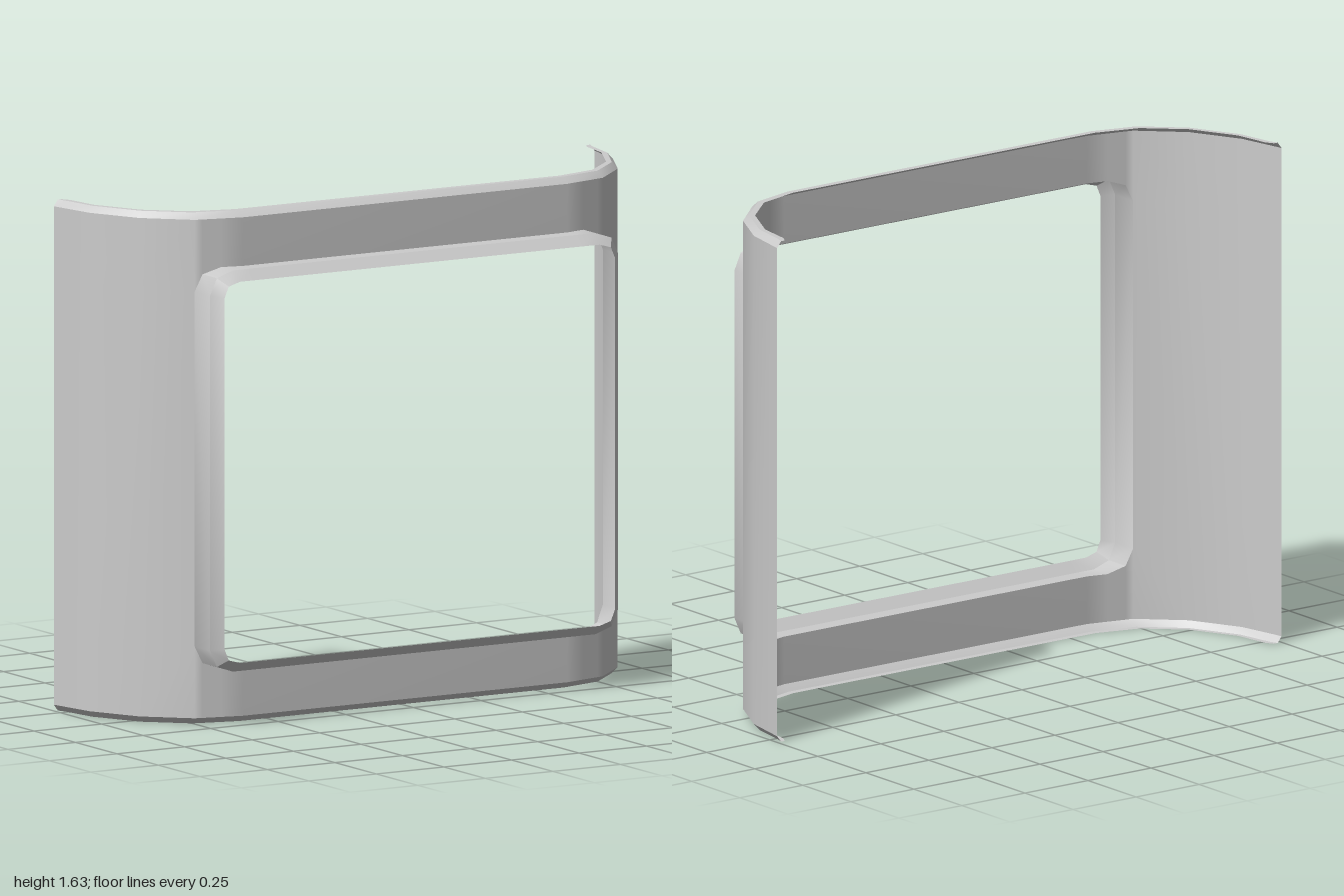
import * as THREE from 'three';
import { toCreasedNormals } from 'three/addons/utils/BufferGeometryUtils.js';

const HEIGHT = 1.635, MID = HEIGHT / 2, BEVEL = 0.02;

// Half of the wrap-around section, [x, z], from the flat front to the rear end
const OUTER = [[0.6, 0.2], [0.755, 0.162], [0.885, 0.04], [0.968, -0.125], [0.995, -0.262], [1, -0.289]];
const INNER = [[0.6, 0.155], [0.745, 0.115], [0.86, 0.01], [0.938, -0.145], [0.955, -0.262], [0.97, -0.289]];

// Corner of the window frame, [x, height above the middle], side to top
const FRAME_OUT = [[0.755, 0.568], [0.73, 0.622], [0.67, 0.642], [0.6, 0.642]];
const FRAME_IN = [[0.722, 0.563], [0.707, 0.598], [0.665, 0.61], [0.6, 0.61]];

// Depth of the shell at a given x
function shellZ(x) {
  const a = Math.abs(x);
  if (a <= OUTER[0][0]) return OUTER[0][1];
  const i = Math.max(1, OUTER.findIndex(p => p[0] >= a - 1e-6));
  const [x0, z0] = OUTER[i - 1], [x1, z1] = OUTER[i];
  return THREE.MathUtils.mapLinear(a, x0, x1, z0, z1);
}

// Surface through rows of points; skip(column, row) leaves a quad open
function grid(rows, closed = false, skip = () => false) {
  const n = rows[0].length, index = [];
  for (let r = 0; r < rows.length - 1; r++) {
    for (let i = 0; i < (closed ? n : n - 1); i++) {
      if (skip(i, r)) continue;
      const j = (i + 1) % n;
      const a = r * n + i, b = r * n + j, c = b + n, d = a + n;
      index.push(a, b, c, a, c, d);
    }
  }
  const geometry = new THREE.BufferGeometry();
  geometry.setAttribute('position', new THREE.Float32BufferAttribute(rows.flat(2), 3));
  geometry.setIndex(index);
  geometry.computeVertexNormals();
  return geometry;
}

// Mirror a half list of [x, value] into one running from -x to +x
const mirrored = half => [...half.map(([x, v]) => [-x, v]).reverse(), ...half];

// Closed frame outline, counter-clockwise from the front
function frameRing(corner, depth) {
  const bottom = mirrored([...corner].reverse().map(([x, h]) => [x, -h]));
  const top = mirrored([...corner].reverse().map(([x, h]) => [x, h])).reverse();
  return [...bottom, ...top].map(([x, h]) => [x, MID + h, depth(x)]);
}

export function createModel() {
  const group = new THREE.Group();
  const material = new THREE.MeshStandardMaterial({ color: 0xcccccc, side: THREE.DoubleSide });
  const add = (name, geometry) => {
    const mesh = new THREE.Mesh(geometry, material);
    mesh.name = name;
    group.add(mesh);
  };

  // Curved shell with the window left open
  const columns = mirrored([...[...FRAME_OUT].reverse(), ...OUTER.slice(2).map(([x]) => [x, FRAME_OUT[0][1]])]);
  const row = y => columns.map(([x, h]) => [x, y(h), shellZ(x)]);
  const rows = [row(() => BEVEL), row(h => MID - h), row(h => MID + h), row(() => HEIGHT - BEVEL)];
  const overWindow = i => Math.abs(columns[i][0] + columns[i + 1][0]) / 2 < FRAME_OUT[0][0];
  add('curvedShell', grid(rows, false, (i, r) => r === 1 && overWindow(i)));

  // Bevelled lips folded inwards along the top and bottom
  const line = (half, y) => mirrored(half).map(([x, z]) => [x, y, z]);
  const between = OUTER.map(([x, z], i) => [(x + INNER[i][0]) / 2, (z + INNER[i][1]) / 2]);
  const lip = (edge, face) => [line(OUTER, edge), line(between, face), line(INNER, face)];
  add('topLip', toCreasedNormals(grid(lip(HEIGHT - BEVEL, HEIGHT)), 0.6));
  add('bottomLip', toCreasedNormals(grid(lip(BEVEL, 0).reverse()), 0.6));

  // Raised window frame with a bevelled front edge
  const frame = [
    frameRing(FRAME_OUT, shellZ),
    frameRing(FRAME_OUT, () => 0.255),
    frameRing(FRAME_IN, () => 0.289),
  ];
  add('windowFrame', toCreasedNormals(grid(frame, true), 0.5));

  return group;
}
